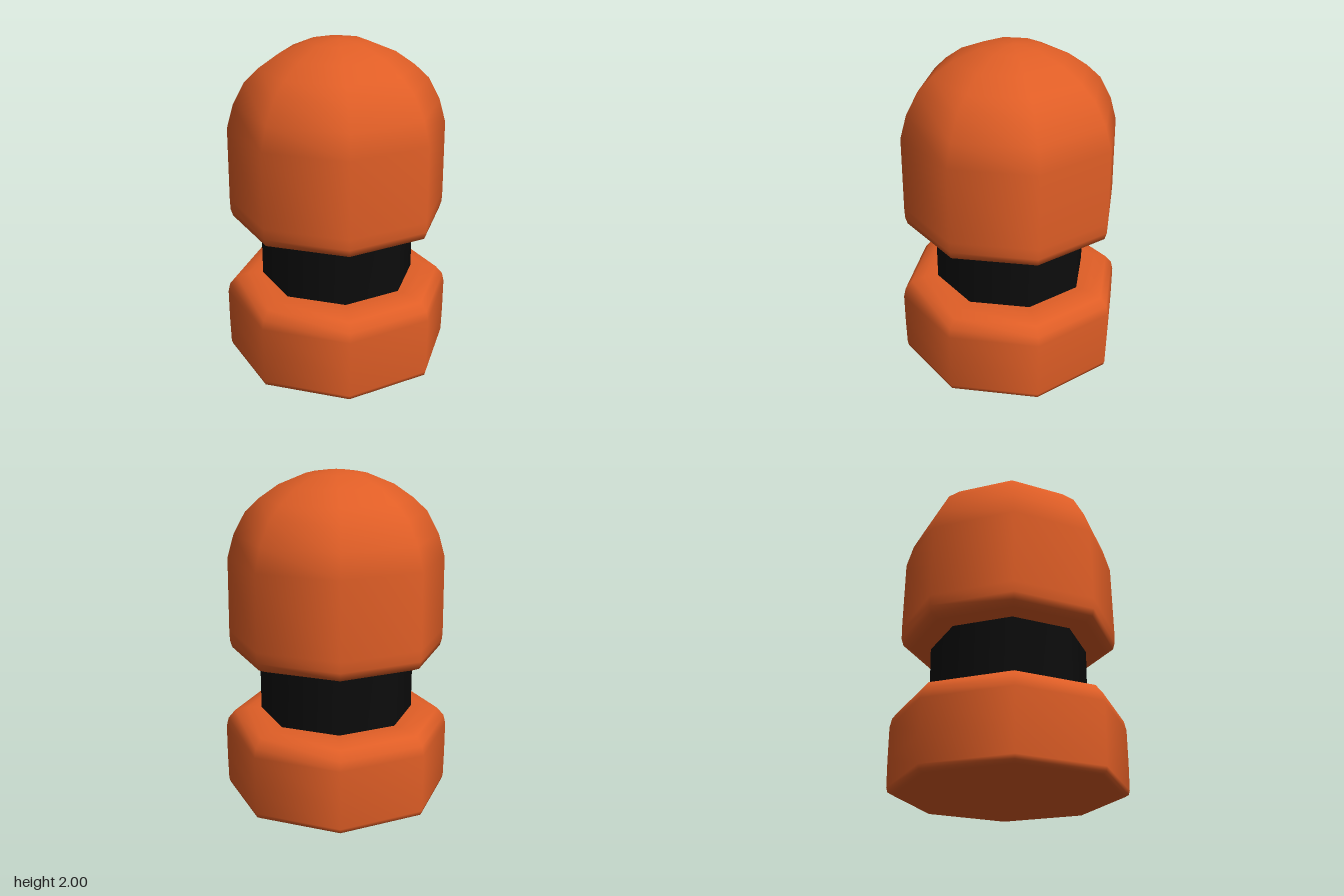
import * as THREE from 'three';

const orange = new THREE.MeshStandardMaterial({ color: 0xe05e26 });
orange.name = 'orange';
const black = new THREE.MeshStandardMaterial({ color: 0x0c0c0c });
black.name = 'black';

// Eight-sided turned part; the profile runs from bottom to top as [radius, height]
function turned(name, profile, material) {
  const points = profile.map(([r, y]) => new THREE.Vector2(r, y));
  const mesh = new THREE.Mesh(new THREE.LatheGeometry(points, 8), material);
  mesh.name = name;
  return mesh;
}

export function createModel() {
  const model = new THREE.Group();
  model.name = 'domedPost';

  // Wide foot with a tight lower edge and a rounded shoulder
  model.add(turned('base', [
    [0, 0], [0.64, 0], [0.665, 0.003], [0.685, 0.015], [0.692, 0.04], [0.695, 0.2],
    [0.695, 0.4], [0.682, 0.455], [0.64, 0.505], [0.56, 0.525], [0.5, 0.525], [0, 0.525],
  ], orange));

  // Recessed dark neck, set into the base and the cap
  model.add(turned('neck', [
    [0.472, 0.5], [0.472, 0.71], [0.475, 0.92],
  ], black));

  // Domed cap with a bevelled rim and a flat underside
  model.add(turned('cap', [
    [0, 0.9], [0.56, 0.9], [0.6, 0.903], [0.642, 0.922], [0.655, 0.965], [0.657, 1.03],
    [0.652, 1.48], [0.612, 1.62], [0.54, 1.755], [0.455, 1.835], [0.34, 1.915],
    [0.18, 1.98], [0.05, 1.998], [0, 2],
  ], orange));

  return model;
}
